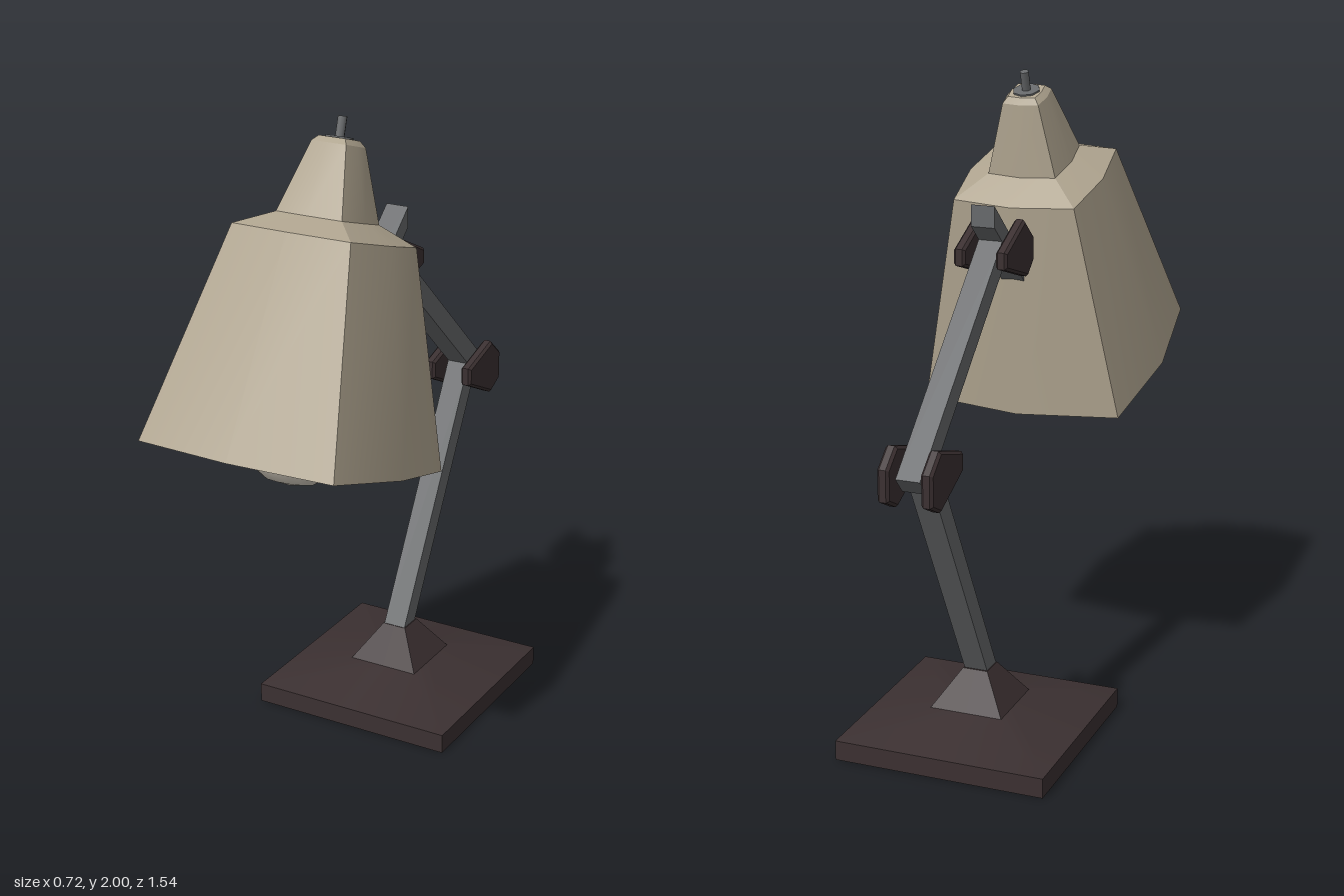
import * as THREE from 'three';
import { toCreasedNormals } from 'three/addons/utils/BufferGeometryUtils.js';

const mat = (name, color, side = THREE.FrontSide) => {
  const m = new THREE.MeshStandardMaterial({ color, side });
  m.name = name;
  return m;
};

// Squarish rings [height, half width]; corner < 1 makes the sides bow outwards
function loft(rings, corner, capStart, capEnd) {
  const c = corner;
  const section = [[0, 1], [c, c], [1, 0], [c, -c], [0, -1], [-c, -c], [-1, 0], [-c, c]];
  const n = section.length;
  const pos = [], idx = [];
  for (const [y, r] of rings) for (const [x, z] of section) pos.push(x * r, y, z * r);
  for (let k = 0; k < rings.length - 1; k++) {
    for (let i = 0; i < n; i++) {
      const a = k * n + i, b = k * n + (i + 1) % n;
      idx.push(a, b, b + n, a, b + n, a + n);
    }
  }
  const last = (rings.length - 1) * n;
  for (let i = 1; i < n - 1; i++) {
    if (capStart) idx.push(0, i + 1, i);
    if (capEnd) idx.push(last, last + i, last + i + 1);
  }
  const g = new THREE.BufferGeometry();
  g.setAttribute('position', new THREE.Float32BufferAttribute(pos, 3));
  g.setIndex(idx);
  return toCreasedNormals(g, 0.4);
}

export function createModel() {
  const model = new THREE.Group();
  const beige = mat('shadeBeige', 0xb0a590);
  const dark = mat('darkBrown', 0x3b3031);
  const darkShell = mat('darkBrownShell', 0x3b3031, THREE.DoubleSide);
  const grey = mat('armGrey', 0x67696b);
  const cream = mat('bulbCream', 0xdad2c4);

  const add = (parent, name, geometry, material, x = 0, y = 0, z = 0) => {
    const m = new THREE.Mesh(geometry, material);
    m.name = name;
    m.position.set(x, y, z);
    parent.add(m);
    return m;
  };

  // Hollow stepped foot
  add(model, 'base', loft([[0, 0.334], [0.062, 0.334], [0.115, 0.116], [0.228, 0.04]], 1, false, true),
    darkShell, 0, 0, -0.235);

  // Bars between two points [z, y]
  const bar = (name, [z0, y0], [z1, y1], thick) => {
    const len = Math.hypot(z1 - z0, y1 - y0);
    const m = add(model, name, new THREE.BoxGeometry(0.074, len, thick), grey, 0, (y0 + y1) / 2, (z0 + z1) / 2);
    m.rotation.x = Math.atan2(z1 - z0, y1 - y0);
  };
  bar('lowerArm', [-0.215, 0.195], [-0.655, 1.0], 0.063);
  bar('upperArm', [-0.725, 0.965], [-0.11, 1.525], 0.066);

  // Short bar holding the shade, with upright cut ends
  const holder = new THREE.Shape([[0.2, 1.655], [0.2, 1.59], [-0.04, 1.377], [-0.04, 1.442]]
    .map(([x, y]) => new THREE.Vector2(x, y)));
  const holderGeo = new THREE.ExtrudeGeometry(holder, { depth: 0.074, bevelEnabled: false });
  holderGeo.translate(0, 0, -0.037);
  holderGeo.rotateY(Math.PI / 2);
  add(model, 'shadeHolder', holderGeo, grey);

  // Pairs of bevelled joint plates, outlines as [z, y]
  const joint = (name, outline, pinZ, pinY) => {
    const group = new THREE.Group();
    group.name = name;
    const b = 0.008;
    const shape = new THREE.Shape(outline.map(([z, y]) => new THREE.Vector2(-z, y)));
    const g = new THREE.ExtrudeGeometry(shape,
      { depth: 0.02, bevelThickness: b, bevelSize: b, bevelOffset: -b, bevelSegments: 1 });
    g.translate(0, 0, -0.01);
    g.rotateY(Math.PI / 2);
    for (const s of [1, -1]) add(group, 'jointPlate', g, dark, s * 0.066, 0, 0);
    const pin = add(group, 'jointPin', new THREE.CylinderGeometry(0.025, 0.025, 0.12, 8), dark, 0, pinY, pinZ);
    pin.rotation.z = Math.PI / 2;
    model.add(group);
  };
  joint('elbowJoint', [[-0.548, 1.025], [-0.548, 0.967], [-0.707, 0.893], [-0.77, 0.925],
    [-0.77, 1.02], [-0.707, 1.073]], -0.67, 0.985);
  joint('shadeJoint', [[-0.075, 1.595], [0, 1.532], [0, 1.46], [-0.05, 1.418],
    [-0.225, 1.475], [-0.225, 1.525]], -0.1, 1.51);

  // Tilted lamp head
  const head = new THREE.Group();
  head.name = 'lampHead';
  head.position.set(0, 1.057, 0.418);
  head.rotation.x = -0.3;
  model.add(head);
  const shade = add(head, 'shade', loft([
    [0.63, 0.205], [0.0, 0.353], [0.0, 0.37], [0.644, 0.224],
    [0.694, 0.125], [0.905, 0.066], [0.922, 0.05],
  ], 0.89, true, true), beige);
  shade.scale.x = 0.97;
  add(head, 'shadeCap', new THREE.CylinderGeometry(0.042, 0.042, 0.01, 8), grey, 0, 0.922, 0);
  add(head, 'stem', new THREE.CylinderGeometry(0.014, 0.014, 0.09, 8), grey, 0, 0.94, 0);
  add(head, 'bulb', new THREE.SphereGeometry(0.2, 12, 8), cream, 0, 0.115, 0);
  add(head, 'bulbSocket', new THREE.CylinderGeometry(0.08, 0.1, 0.36, 12), grey, 0, 0.45, 0);

  return model;
}
